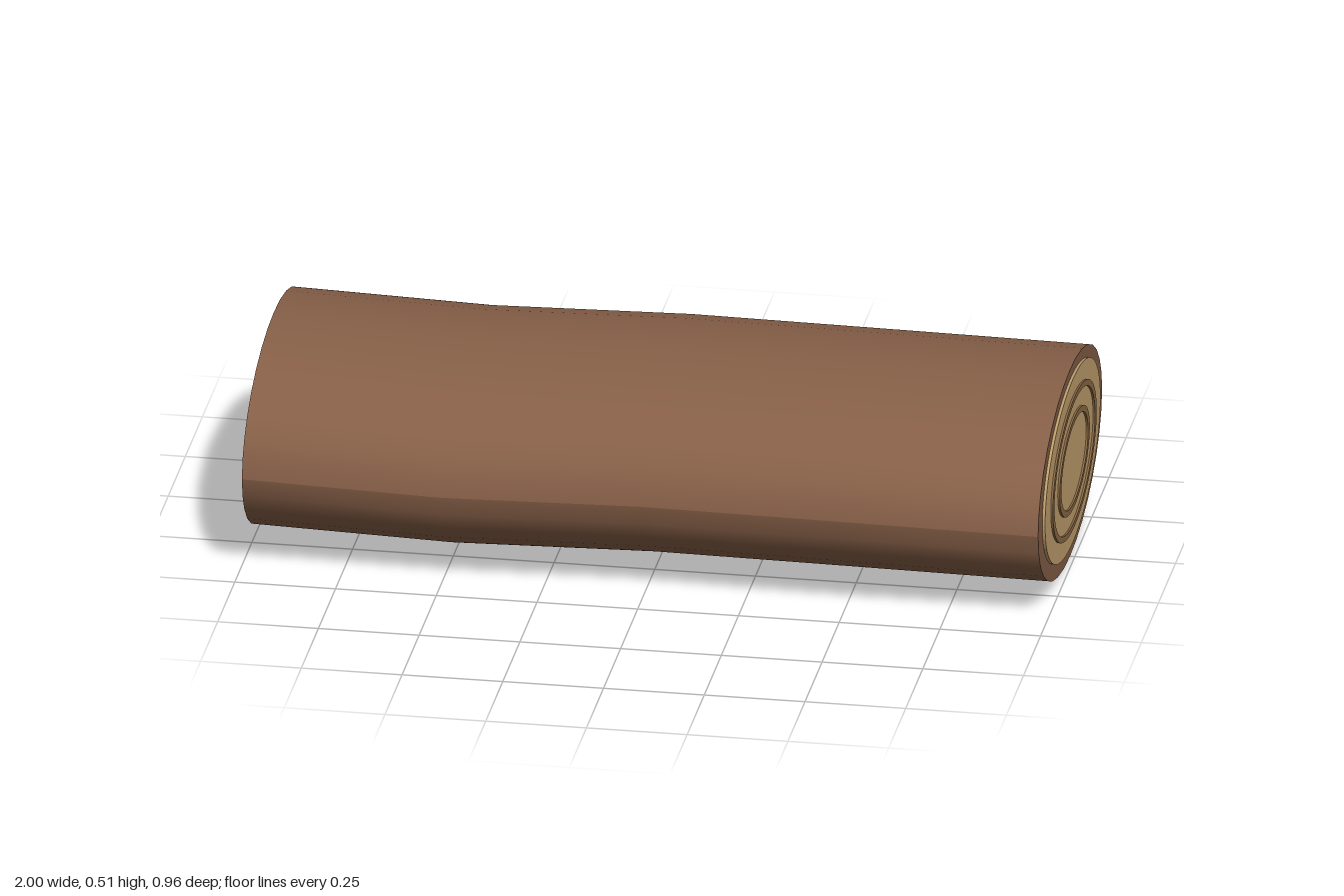
import * as THREE from 'three';

const CENTER_Y = 0.26;
const SQUASH = 0.535; // height to width ratio of the oval section

export function createModel() {
  const model = new THREE.Group();
  const mat = (name, color) => Object.assign(new THREE.MeshStandardMaterial({ color }), { name });
  const bark = mat('bark', 0x865f47);
  const wood = mat('cutWood', 0xc0a06c);
  const ringWood = mat('growthRing', 0x8c6a45);

  // Oval trunk along x, each section nudged slightly off the axis
  const trunkGeo = new THREE.CylinderGeometry(0.468, 0.468, 1.976, 32, 4);
  trunkGeo.rotateZ(-Math.PI / 2);
  trunkGeo.scale(1, 0.248 / 0.468, 1);
  const offsetY = [0.006, -0.004, -0.001, 0.003, -0.006];
  const offsetZ = [-0.002, 0.007, -0.013, 0.007, -0.002];
  const pos = trunkGeo.attributes.position;
  for (let i = 0; i < pos.count; i++) {
    const s = Math.round((pos.getX(i) / 1.976 + 0.5) * 4);
    pos.setY(i, pos.getY(i) + CENTER_Y + offsetY[s]);
    pos.setZ(i, pos.getZ(i) + offsetZ[s]);
  }
  trunkGeo.computeVertexNormals();
  const trunk = new THREE.Mesh(trunkGeo, bark);
  trunk.name = 'trunk';
  model.add(trunk);

  // Flat oval plate or ring standing out along +z, from depth z0 to z1
  const plate = (outer, inner, z0, z1) => {
    const shape = new THREE.Shape().absellipse(0, 0, outer, outer * SQUASH, 0, Math.PI * 2);
    if (inner) shape.holes.push(new THREE.Path().absellipse(0, 0, inner, inner * SQUASH, 0, Math.PI * 2, true));
    return new THREE.ExtrudeGeometry(shape, { depth: z1 - z0, bevelEnabled: false, curveSegments: 48 })
      .translate(0, 0, z0);
  };

  // Sawn face with two growth rings at each end
  for (const side of [1, -1]) {
    const end = new THREE.Group();
    end.name = side > 0 ? 'leftCutEnd' : 'rightCutEnd';
    const add = (name, geo, material) => {
      const mesh = new THREE.Mesh(geo, material);
      mesh.name = name;
      end.add(mesh);
    };
    add('cutFace', plate(0.405, 0, 0.985, 0.995), wood);
    add('outerRing', plate(0.321, 0.296, 0.992, 1), ringWood);
    add('innerRing', plate(0.22, 0.195, 0.992, 1), ringWood);
    end.rotation.y = side * Math.PI / 2;
    end.position.y = CENTER_Y;
    model.add(end);
  }
  return model;
}
